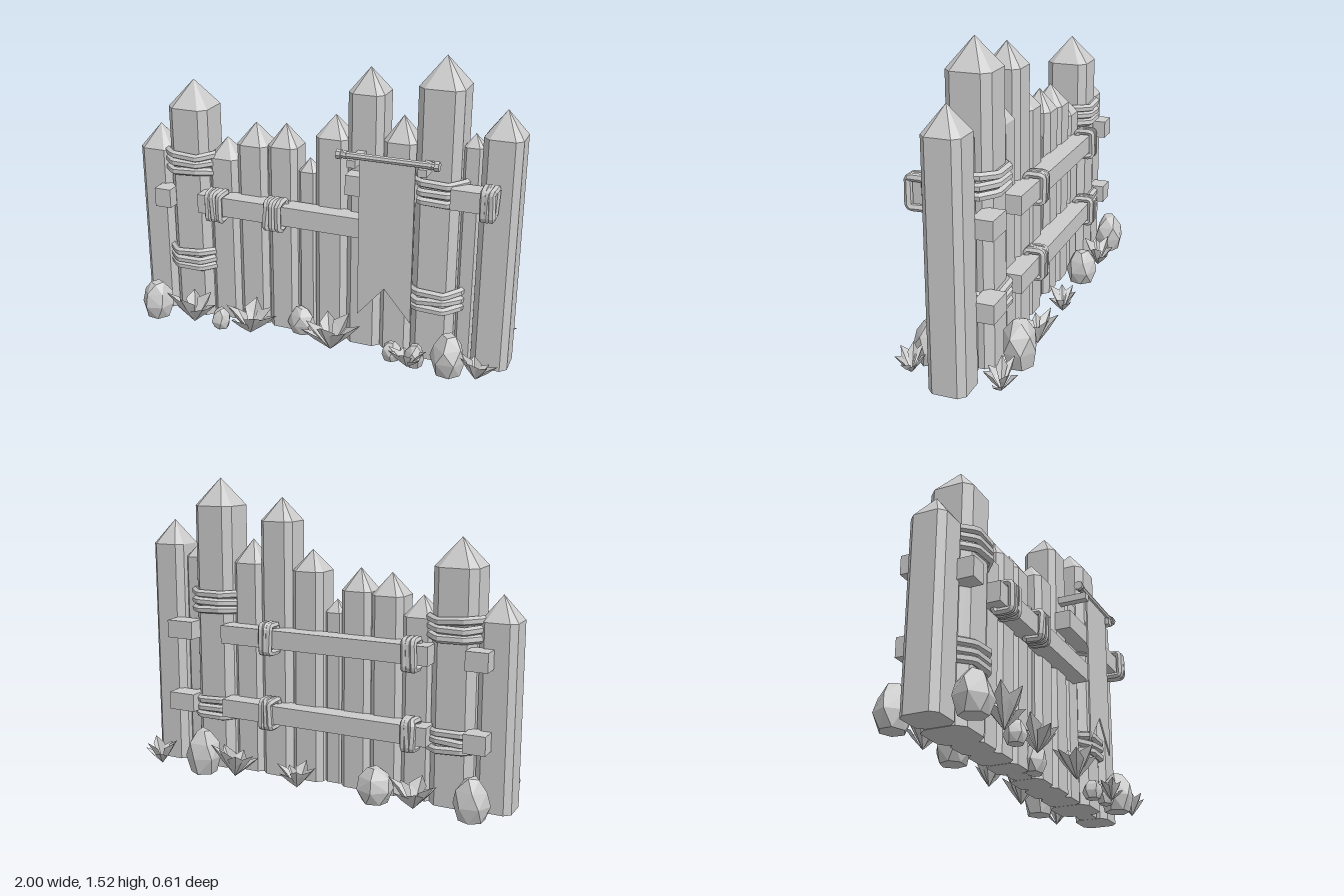
import * as THREE from 'three';
import { ConvexGeometry } from 'three/addons/geometries/ConvexGeometry.js';

const stone = new THREE.MeshStandardMaterial({ color: 0xcccccc, flatShading: true, side: THREE.DoubleSide });
stone.name = 'plain grey';

let seed = 7;
const rand = (a = 0, b = 1) => {
  seed = (seed * 16807) % 2147483647;
  return a + (b - a) * (seed / 2147483647);
};

function add(parent, name, geometry, x = 0, y = 0, z = 0) {
  const mesh = new THREE.Mesh(geometry, stone);
  mesh.name = name;
  mesh.position.set(x, y, z);
  parent.add(mesh);
  return mesh;
}

// Turns a round eight-sided solid into a square one with chamfered corners
function chamfer(geometry, half) {
  const p = geometry.attributes.position;
  for (let i = 0; i < p.count; i++) {
    const x = p.getX(i), z = p.getZ(i);
    if (Math.hypot(x, z) < 0.01) continue;
    const wide = Math.abs(x) > Math.abs(z);
    p.setX(i, Math.sign(x) * half * (wide ? 1 : 0.66));
    p.setZ(i, Math.sign(z) * half * (wide ? 0.66 : 1));
  }
  return geometry;
}

// Stake with a pointed top
function addPost(parent, x, half, shoulder, tip) {
  const post = new THREE.Group();
  post.name = 'post';
  post.position.x = x;
  const start = Math.PI / 8, rise = tip - shoulder;
  add(post, 'postShaft', chamfer(new THREE.CylinderGeometry(1, 1, shoulder, 8, 1, false, start), half), 0, shoulder / 2);
  add(post, 'postPoint', chamfer(new THREE.ConeGeometry(1, rise, 8, 1, true, start), half), 0, shoulder + rise / 2);
  parent.add(post);
}

function addBox(parent, name, x0, x1, y0, y1, z0, z1) {
  add(parent, name, new THREE.BoxGeometry(x1 - x0, y1 - y0, z1 - z0), (x0 + x1) / 2, (y0 + y1) / 2, (z0 + z1) / 2);
}

// One closed rope strand around a chamfered rectangle in the plane of a and b
function strand(a, b, cut, radius, wobble, place) {
  const corners = [[a, b - cut], [a - cut, b], [cut - a, b], [-a, b - cut], [-a, cut - b], [cut - a, -b], [a - cut, -b], [a, cut - b]];
  const points = corners.map(([u, v]) => place(u, v, rand(-wobble, wobble)));
  const path = new THREE.CatmullRomCurve3(points, true, 'catmullrom', 0);
  return new THREE.TubeGeometry(path, 56, radius, 6, true);
}

// Three strands lying around a post
function addPostRope(parent, x, y) {
  for (let i = -1; i <= 1; i++) {
    add(parent, 'postRope', strand(0.13, 0.127, 0.065, 0.021, 0.007, (u, v, w) => new THREE.Vector3(u, w, v)), x, y + i * 0.042);
  }
}

// Three strands standing around a beam
function addBeamRope(parent, x, y, z, step) {
  for (let i = -1; i <= 1; i++) {
    add(parent, 'beamRope', strand(0.068, 0.042, 0.01, 0.018, 0.005, (u, v, w) => new THREE.Vector3(w, u, v)), x + i * step, y, z);
  }
}

// Faceted boulder from a few uneven rings
function addRock(parent, x, z, rx, rz, h) {
  const points = [];
  for (const [y, r, n] of [[0, 0.72, 6], [0.38, 1, 6], [0.72, 0.85, 5], [1, 0.38, 4]]) {
    const turn = rand(0, 6.28);
    for (let i = 0; i < n; i++) {
      const a = turn + (i / n) * Math.PI * 2, s = r * rand(0.9, 1.04);
      const level = y === 0 ? 0 : y * rand(0.92, 1);
      points.push(new THREE.Vector3(Math.cos(a) * rx * s, level * h, Math.sin(a) * rz * s));
    }
  }
  add(parent, 'rock', new ConvexGeometry(points), x, 0, z);
}

// Broad leaf folded along its midrib, pointing along +x
function leafGeometry(length, height, width) {
  const base = [0, 0, 0], tip = [length, height, 0];
  const mid = [length * 0.55, height * 0.5, 0];
  const l = [length * 0.5, height * 0.75, width], r = [length * 0.5, height * 0.75, -width];
  const corners = [base, l, mid, base, mid, r, l, tip, mid, mid, tip, r];
  const g = new THREE.BufferGeometry();
  g.setAttribute('position', new THREE.Float32BufferAttribute(corners.flat(), 3));
  g.computeVertexNormals();
  return g;
}

function addPlant(parent, x, z, size) {
  const plant = new THREE.Group();
  plant.name = 'plant';
  plant.position.set(x, 0.01, z);
  plant.scale.set(1, 1, 0.65);
  const turn = rand(-0.2, 0.2);
  for (let i = 0; i < 7; i++) {
    const g = leafGeometry(size * rand(0.75, 1), size * rand(0.6, 1.1), size * 0.3);
    add(plant, 'leaf', g).rotation.y = turn + (i / 7) * Math.PI * 2;
  }
  parent.add(plant);
}

export function createModel() {
  const model = new THREE.Group();
  model.name = 'palisade';

  // Posts: centre, half width, shoulder height, tip height
  [[-0.91, 0.09, 0.91, 1.03], [-0.705, 0.11, 1.15, 1.285], [-0.52, 0.082, 0.9, 1.0],
    [-0.356, 0.083, 0.99, 1.097], [-0.19, 0.079, 1.0, 1.11], [-0.062, 0.05, 0.88, 0.945],
    [0.075, 0.085, 1.08, 1.185], [0.25, 0.09, 1.32, 1.437], [0.42, 0.083, 1.1, 1.22],
    [0.615, 0.109, 1.385, 1.525], [0.768, 0.047, 1.11, 1.17], [0.908, 0.092, 1.175, 1.3],
  ].forEach((p) => addPost(model, ...p));

  // Front beams, broken by the two thick posts
  for (const [x0, x1, y0, y1] of [[-0.87, -0.78, 0.627, 0.727], [-0.62, 0.42, 0.627, 0.727],
    [0.185, 0.53, 0.842, 0.942], [0.7, 0.9, 0.842, 0.942]]) {
    addBox(model, 'frontBeam', x0, x1, y0, y1, 0.07, 0.17);
  }
  // Back beams and their stub ends
  for (const y of [0.695, 0.305]) {
    for (const [x0, x1] of [[-0.9, -0.79], [-0.61, 0.52], [0.7, 0.85]]) {
      addBox(model, 'backBeam', x0, x1, y, y + 0.093, -0.175, -0.07);
    }
  }

  // Lashings
  for (const [x, y] of [[-0.705, 0.867], [-0.705, 0.33], [0.615, 0.893], [0.615, 0.33]]) addPostRope(model, x, y);
  addBeamRope(model, -0.518, 0.677, 0.15, 0.034);
  addBeamRope(model, -0.19, 0.677, 0.15, 0.034);
  addBeamRope(model, 0.877, 0.892, 0.15, 0.021);
  for (const x of [-0.52, 0.25]) {
    for (const y of [0.741, 0.352]) addBeamRope(model, x, y, -0.147, 0.022);
  }

  // Banner with a forked tail
  const cloth = new THREE.Shape();
  [[0.278, 1.065], [0.278, 0.25], [0.413, 0.41], [0.548, 0.25], [0.548, 1.065]]
    .forEach(([x, y], i) => (i ? cloth.lineTo(x, y) : cloth.moveTo(x, y)));
  add(model, 'banner', new THREE.ExtrudeGeometry(cloth, { depth: 0.008, bevelEnabled: false }), 0, 0, 0.222);

  // Banner rod, knobs, collars and brackets
  const rod = (name, x, radius, length) => {
    add(model, name, new THREE.CylinderGeometry(radius, radius, length, 8), x, 1.065, 0.226).rotation.z = Math.PI / 2;
  };
  rod('bannerRod', 0.413, 0.017, 0.47);
  for (const side of [-1, 1]) {
    rod('rodKnob', 0.413 + side * 0.236, 0.025, 0.022);
    rod('rodCollar', 0.413 + side * 0.205, 0.021, 0.014);
    const x = 0.413 + side * 0.171;
    addBox(model, 'bannerBracket', x - 0.021, x + 0.021, 1.01, 1.047, 0.06, 0.245);
  }

  // Rocks: x, z, half width, half depth, height
  [[-0.88, 0.19, 0.09, 0.09, 0.2], [-0.5, 0.19, 0.055, 0.055, 0.11], [-0.08, 0.085, 0.075, 0.055, 0.15],
    [0.44, 0.17, 0.055, 0.055, 0.1], [0.565, 0.19, 0.055, 0.05, 0.12], [0.735, 0.19, 0.09, 0.09, 0.21],
    [-0.85, -0.2, 0.095, 0.085, 0.21], [-0.36, -0.19, 0.095, 0.085, 0.18], [0.62, -0.205, 0.1, 0.09, 0.235],
  ].forEach((r) => addRock(model, ...r));

  // Plants: x, z, leaf reach
  [[-0.65, 0.21, 0.16], [-0.32, 0.21, 0.165], [0.13, 0.21, 0.17], [0.54, 0.23, 0.11], [0.88, 0.22, 0.11],
    [-0.57, -0.22, 0.155], [0.055, -0.22, 0.12], [0.42, -0.22, 0.145], [0.88, -0.22, 0.12],
  ].forEach((p) => addPlant(model, ...p));

  return model;
}
